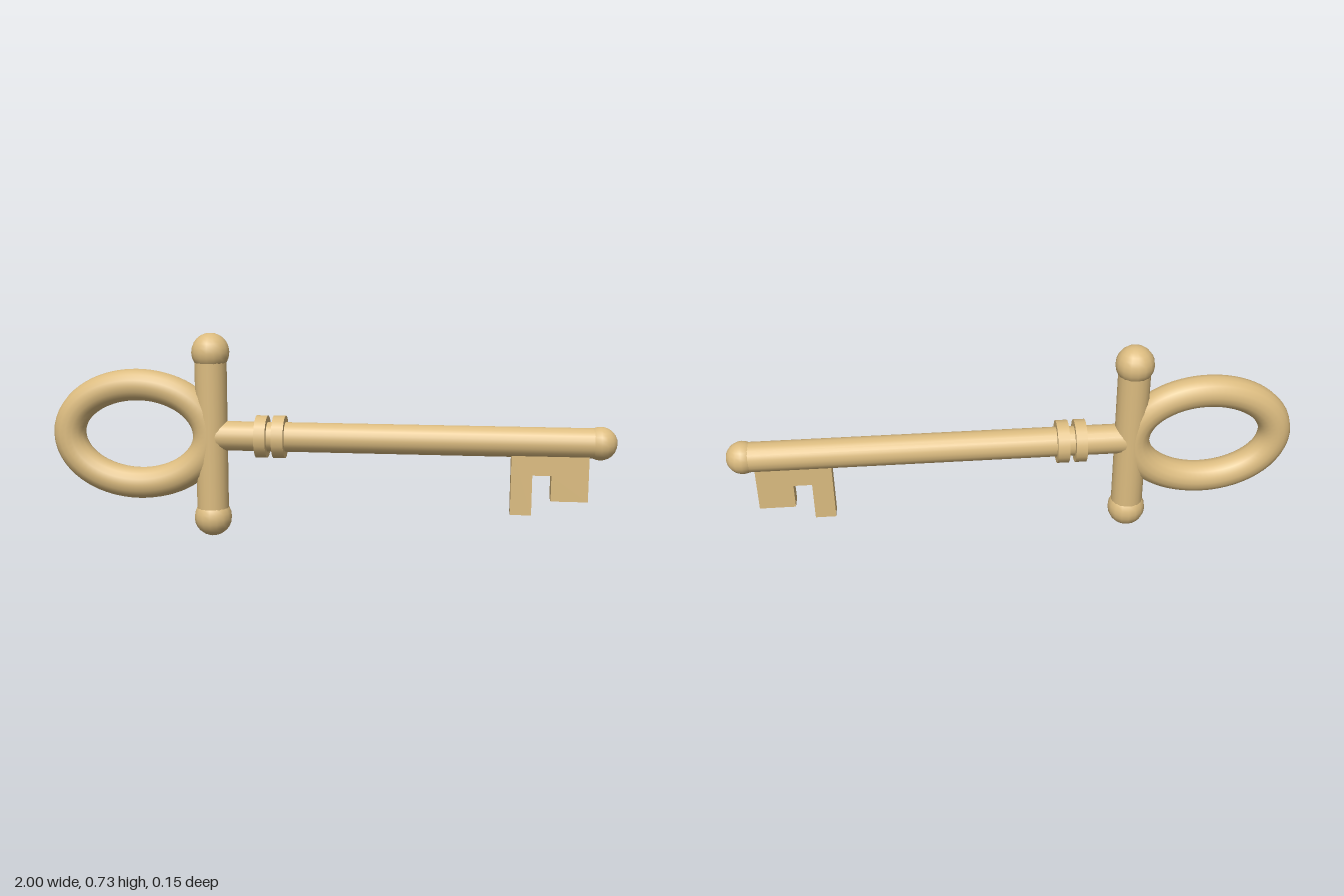
import * as THREE from 'three';

export function createModel() {
  const key = new THREE.Group();
  key.name = 'key';
  const brass = new THREE.MeshStandardMaterial({ color: 0xdcbc80 });
  brass.name = 'brass';
  const axisY = 0.371;

  const add = (name, geometry, x, y, z = 0) => {
    const mesh = new THREE.Mesh(geometry, brass);
    mesh.name = name;
    mesh.position.set(x, y, z);
    key.add(mesh);
    return mesh;
  };
  const ball = (name, r, x, y) => add(name, new THREE.SphereGeometry(r, 16, 12), x, y);
  // Cylinder lying along x between two ends
  const rod = (name, r, x0, x1) => {
    const mesh = add(name, new THREE.CylinderGeometry(r, r, x1 - x0, 20), (x0 + x1) / 2, axisY);
    mesh.rotation.z = -Math.PI / 2;
  };

  // Oval handle with a round section of constant thickness
  class Oval extends THREE.Curve {
    getPoint(t, target = new THREE.Vector3()) {
      const a = t * Math.PI * 2;
      return target.set(0.256 * Math.cos(a), 0.179 * Math.sin(a), 0);
    }
  }
  add('handleRing', new THREE.TubeGeometry(new Oval(), 64, 0.057, 16, true), -0.687, axisY);

  // Upright crossbar with a ball at each end
  add('crossbar', new THREE.CylinderGeometry(0.057, 0.057, 0.6, 20), -0.42, axisY);
  ball('crossbarTopBall', 0.068, -0.42, 0.67);
  ball('crossbarBottomBall', 0.068, -0.42, 0.072);

  // Shaft, twin collars and tip
  rod('shaft', 0.053, -0.42, 0.94);
  rod('innerCollar', 0.076, -0.257, -0.217);
  rod('outerCollar', 0.076, -0.195, -0.153);
  ball('tipBall', 0.058, 0.942, axisY);

  // Notched bit hanging below the shaft
  const outline = [
    [0.64, 0.36], [0.64, 0.116], [0.713, 0.116], [0.713, 0.258],
    [0.778, 0.258], [0.778, 0.168], [0.905, 0.168], [0.905, 0.36],
  ].map(([x, y]) => new THREE.Vector2(x, y));
  add('bit', new THREE.ExtrudeGeometry(new THREE.Shape(outline), { depth: 0.054, bevelEnabled: false }), 0, 0, -0.027);

  return key;
}
